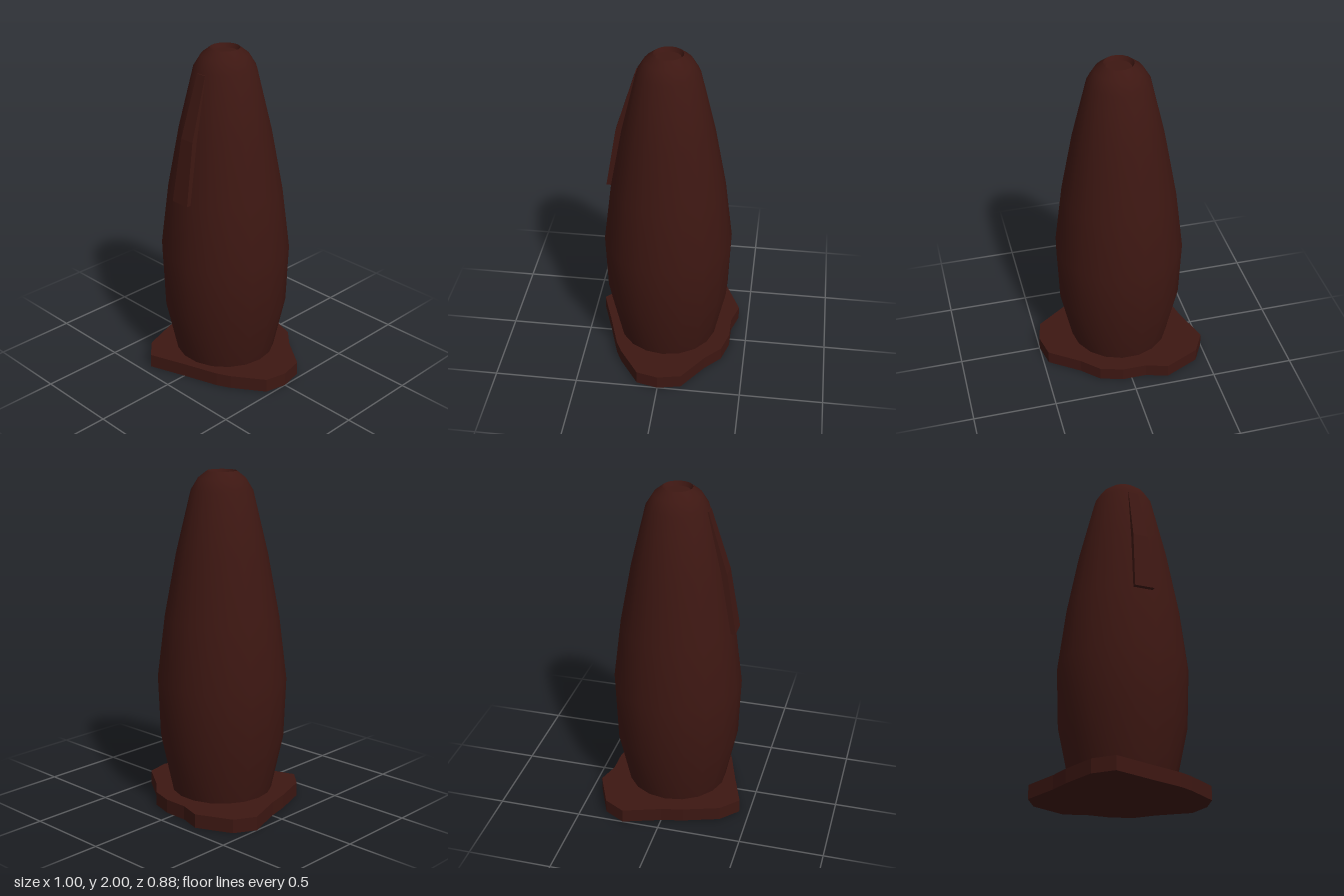
import * as THREE from 'three';
import { toCreasedNormals } from 'three/addons/utils/BufferGeometryUtils.js';
import { ConvexGeometry } from 'three/addons/geometries/ConvexGeometry.js';

const material = new THREE.MeshStandardMaterial({ color: 0x3d1712 });

function part(name, geometry) {
  const mesh = new THREE.Mesh(geometry, material);
  mesh.name = name;
  return mesh;
}

// Bulging 18-sided body with a rounded tip and a shallow recess on top
function createBody() {
  const profile = [
    [0, 0.04], [0.29, 0.04], [0.302, 0.085], [0.371, 0.41], [0.385, 0.77], [0.338, 1.15],
    [0.269, 1.52], [0.18, 1.89], [0.137, 1.96], [0.086, 2], [0.073, 1.975], [0, 1.975],
  ].map(([r, y]) => new THREE.Vector2(r, y));
  const geometry = new THREE.LatheGeometry(profile, 18, Math.PI / 2);
  geometry.translate(-0.016, 0, -0.003);
  return part('body', toCreasedNormals(geometry, Math.PI / 6));
}

// Irregular three-lobed foot plate, outline given as x, z
function createBase() {
  const outline = [
    [-0.22, -0.44], [-0.09, -0.4], [0.055, -0.4], [0.19, -0.36], [0.29, -0.265],
    [0.47, -0.14], [0.5, 0], [0.47, 0.13], [0.29, 0.255], [0.21, 0.295],
    [-0.005, 0.365], [-0.09, 0.395], [-0.22, 0.44], [-0.325, 0.34],
    [-0.395, 0.13], [-0.425, 0], [-0.5, -0.22], [-0.43, -0.345],
  ].map(([x, z]) => new THREE.Vector2(x, -z));
  const geometry = new THREE.ExtrudeGeometry(new THREE.Shape(outline), { depth: 0.083, bevelEnabled: false });
  geometry.rotateX(-Math.PI / 2);
  return part('basePlate', geometry);
}

// Tapered ridge down the front, widest at its square lower end
function createRidge() {
  const sections = [
    // y, half width, outer z
    [1.15, 0.06, 0.357], [1.52, 0.046, 0.296], [1.88, 0.032, 0.182],
  ];
  const points = [];
  for (const [y, w, z] of sections) {
    for (const side of [-1, 1]) {
      points.push(new THREE.Vector3(-0.018 + side * w, y, z), new THREE.Vector3(-0.018 + side * w, y, z - 0.08));
    }
  }
  return part('frontRidge', new ConvexGeometry(points));
}

export function createModel() {
  const group = new THREE.Group();
  group.name = 'taperedPost';
  group.add(createBody(), createBase(), createRidge());
  return group;
}
